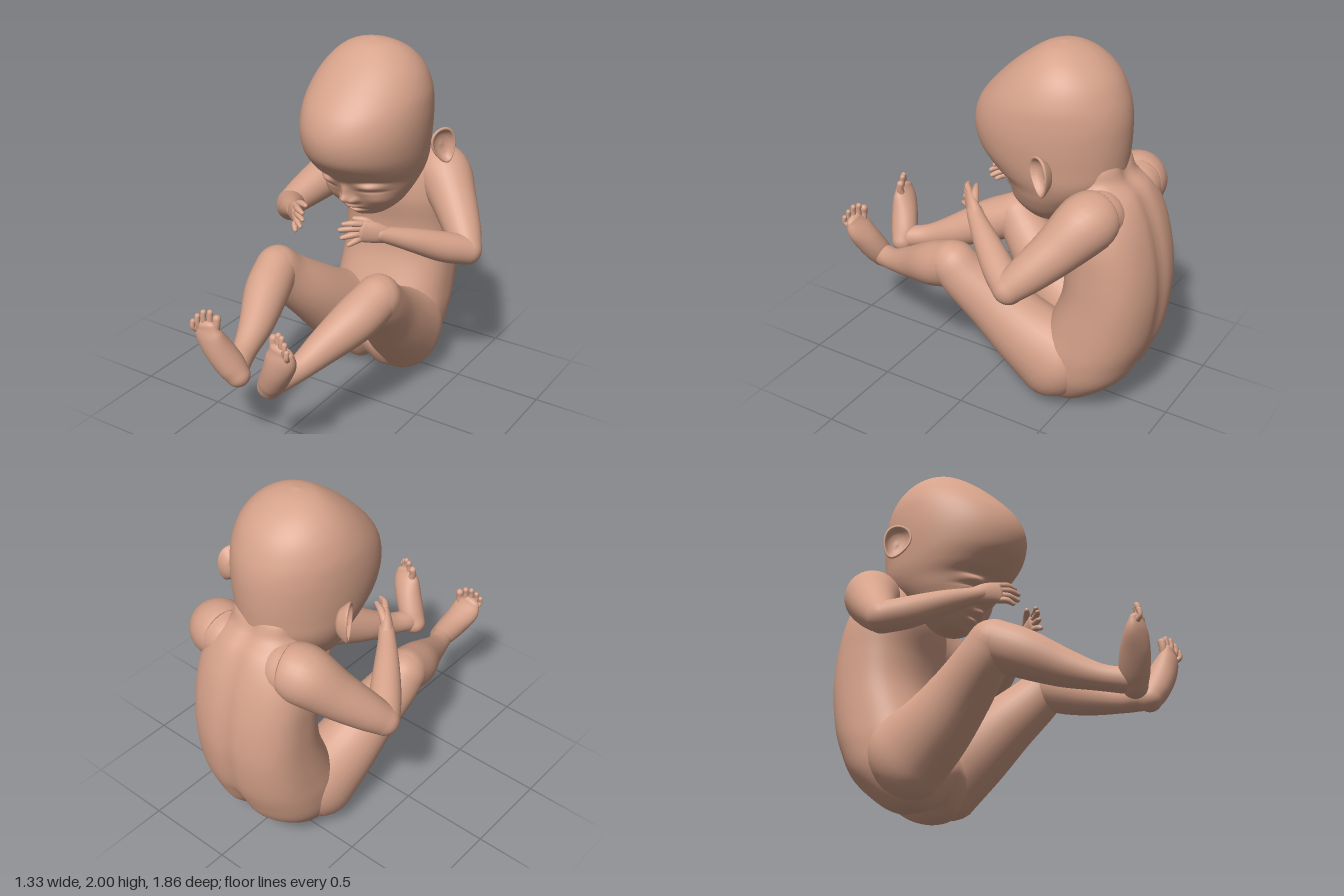
import * as THREE from 'three';

const skin = new THREE.MeshStandardMaterial({ color: 0xd6a28a });
skin.name = 'skin';

const add = (parent, name, geometry) => {
  const mesh = new THREE.Mesh(geometry, skin);
  mesh.name = name;
  parent.add(mesh);
  return mesh;
};
const gauss = (x, cx, s) => Math.exp(-(((x - cx) / s) ** 2));

// Smooth skin through closed rings of equal point counts
function loft(rings) {
  const n = rings[0].length, pos = [], index = [];
  rings.forEach(ring => ring.forEach(p => pos.push(p.x, p.y, p.z)));
  for (let i = 0; i < rings.length - 1; i++) {
    for (let j = 0; j < n; j++) {
      const a = i * n + j, b = i * n + (j + 1) % n;
      index.push(a, a + n, b, b, a + n, b + n);
    }
  }
  const g = new THREE.BufferGeometry();
  g.setAttribute('position', new THREE.Float32BufferAttribute(pos, 3));
  g.setIndex(index);
  g.computeVertexNormals();
  return g;
}

const spline = pts => new THREE.CatmullRomCurve3(pts, false, 'catmullrom', 0.5);

// Horizontal sections [y, zFront, zBack, halfWidth], bottom to top, shaped by a rule
function stack(rows, steps, sides, power, rule) {
  const shape = spline(rows.map(r => new THREE.Vector3(r[0], r[1], r[2])));
  const width = spline(rows.map(r => new THREE.Vector3(r[3], 0, 0)));
  const bend = v => Math.sign(v) * Math.abs(v) ** (2 / power);
  const rings = [];
  for (let i = 0; i <= steps; i++) {
    const s = shape.getPoint(i / steps), w = Math.max(0, width.getPoint(i / steps).x);
    const ring = [];
    for (let j = 0; j < sides; j++) {
      const t = j / sides * Math.PI * 2;
      const p = new THREE.Vector3(w * bend(Math.cos(t)), s.x,
        (s.y + s.z) / 2 + (s.y - s.z) / 2 * bend(Math.sin(t)));
      rule(p, Math.sin(t));
      ring.push(p);
    }
    rings.push(ring);
  }
  return loft(rings);
}

// Round-ended limb through [x, y, z, radius, depthRadius]; ref is the direction of radius
function limb(side, points, ref, steps = 24, sides = 28) {
  const path = spline(points.map(p => new THREE.Vector3(side * p[0], p[1], p[2])));
  const radii = spline(points.map(p => new THREE.Vector3(p[3], p[4] ?? p[3], 0)));
  const rings = [];
  const section = (t, phi) => {
    const c = path.getPoint(t), r = radii.getPoint(t), T = path.getTangent(t);
    const U = ref.clone().addScaledVector(T, -ref.dot(T)).normalize();
    const V = U.clone().cross(T);
    c.addScaledVector(T, Math.min(r.x, r.y) * Math.sin(phi));
    const k = Math.cos(phi), ring = [];
    for (let j = 0; j < sides; j++) {
      const a = j / sides * Math.PI * 2;
      ring.push(c.clone().addScaledVector(U, r.x * k * Math.cos(a)).addScaledVector(V, r.y * k * Math.sin(a)));
    }
    rings.push(ring);
  };
  for (let i = 0; i < 7; i++) section(0, (i / 7 - 1) * Math.PI / 2);
  for (let i = 0; i <= steps; i++) section(i / steps, 0);
  for (let i = 1; i <= 7; i++) section(1, i / 7 * Math.PI / 2);
  return loft(rings);
}

const X = new THREE.Vector3(1, 0, 0), Y = new THREE.Vector3(0, 1, 0);

// Face relief: [x, y, spreadX, spreadY, height], mirrored when x is not 0
const face = [
  [0, 1.165, 0.034, 0.028, 0.06], [0, 1.21, 0.025, 0.045, 0.03], [0.038, 1.155, 0.018, 0.017, 0.03],
  [0.14, 1.285, 0.07, 0.018, -0.022], [0.14, 1.25, 0.055, 0.022, 0.02], [0.14, 1.222, 0.06, 0.009, -0.01],
  [0.16, 1.16, 0.06, 0.045, 0.018], [0, 1.108, 0.05, 0.014, 0.03], [0, 1.087, 0.075, 0.008, -0.012],
  [0, 1.066, 0.045, 0.014, 0.02], [0, 1.03, 0.05, 0.014, 0.012]
];

function headShape() {
  const rows = [
    [1.015, -0.28, -0.28, 0], [1.025, -0.22, -0.34, 0.07], [1.06, -0.165, -0.4, 0.135],
    [1.12, -0.11, -0.48, 0.2], [1.2, -0.065, -0.56, 0.25], [1.27, -0.025, -0.63, 0.28],
    [1.34, 0.055, -0.67, 0.305], [1.43, 0.13, -0.682, 0.324], [1.54, 0.155, -0.687, 0.336],
    [1.65, 0.125, -0.682, 0.335], [1.75, 0.05, -0.657, 0.318], [1.85, -0.05, -0.605, 0.272],
    [1.93, -0.15, -0.52, 0.2], [1.98, -0.235, -0.42, 0.11], [2, -0.325, -0.325, 0]
  ];
  return stack(rows, 140, 160, 2, (p, front) => {
    if (front <= 0) return;
    let lift = 0;
    for (const [x, y, sx, sy, h] of face) {
      const across = gauss(p.x, x, sx) + (x ? gauss(p.x, -x, sx) : 0);
      lift += h * across * gauss(p.y, y, sy);
    }
    p.z += lift * Math.min(1, front * 2);
  });
}

function torsoShape() {
  const rows = [
    [0, -0.44, -0.44, 0], [0.005, -0.36, -0.52, 0.16], [0.06, -0.28, -0.63, 0.25], [0.2, -0.22, -0.785, 0.325],
    [0.35, -0.27, -0.86, 0.345], [0.5, -0.345, -0.907, 0.342], [0.7, -0.42, -0.93, 0.335],
    [0.88, -0.43, -0.92, 0.333], [1.05, -0.4, -0.885, 0.33], [1.18, -0.4, -0.84, 0.3],
    [1.28, -0.41, -0.785, 0.24], [1.35, -0.42, -0.71, 0.19], [1.44, -0.45, -0.66, 0.16], [1.45, -0.55, -0.55, 0]
  ];
  return stack(rows, 90, 96, 2.5, (p, front) => {
    const back = Math.max(0, -front), low = Math.max(0, 1 - p.y / 0.42);
    // spine groove and buttock cleft
    p.z += back * gauss(p.x, 0, 0.05) * (0.016 + 0.04 * low);
    p.y += 0.05 * gauss(p.x, 0, 0.05) * low;
  });
}

// Cupped ear with a rounded rim
function earShape(s) {
  const profile = [[0, -0.3], [0.55, -0.1], [0.85, 0.3], [1, 0.6], [0.98, 0.72], [0.88, 0.72],
    [0.78, 0.52], [0.6, 0.3], [0.3, 0.18], [0, 0.2]];
  const curve = new THREE.SplineCurve(profile.map(p => new THREE.Vector2(...p)));
  const pts = curve.getPoints(36).map(p => p.setX(Math.max(0, p.x)));
  const g = new THREE.LatheGeometry(pts, 40);
  g.scale(0.105, 0.07, 0.078).rotateZ(-s * Math.PI / 2);
  const pos = g.attributes.position;
  for (let i = 0; i < pos.count; i++) pos.setZ(i, pos.getZ(i) * (0.92 + 2.6 * pos.getY(i)));
  g.computeVertexNormals();
  return g.rotateX(0.3).rotateY(-s * 0.5).translate(s * 0.355, 1.44, -0.435);
}

function buildArm(s, name) {
  const arm = new THREE.Group();
  arm.name = name;
  add(arm, 'upperArm', limb(s, [[0.2, 1.2, -0.645, 0.14], [0.29, 1.19, -0.62, 0.155], [0.41, 1.075, -0.53, 0.127],
    [0.52, 0.965, -0.43, 0.102], [0.585, 0.895, -0.362, 0.082]], Y));
  add(arm, 'forearm', limb(s, [[0.585, 0.892, -0.36, 0.082], [0.5, 0.935, -0.245, 0.083], [0.4, 1, -0.11, 0.066],
    [0.32, 1.045, -0.01, 0.049], [0.275, 1.068, 0.04, 0.043]], Y));
  add(arm, 'palm', limb(s, [[0.3, 1.055, 0.01, 0.045, 0.04], [0.255, 1.078, 0.065, 0.058, 0.034],
    [0.21, 1.092, 0.115, 0.06, 0.025]], Y));
  const tips = [[0.13, 1.135, 0.172], [0.118, 1.105, 0.188], [0.132, 1.064, 0.19], [0.17, 1.03, 0.182]];
  tips.forEach(([x, y, z], i) => {
    const base = [0.205, 1.135 - i * 0.028, 0.118];
    add(arm, 'finger', limb(s, [[...base, 0.018], [(base[0] + x) / 2 + 0.004, (base[1] + y) / 2 + 0.006,
      (base[2] + z) / 2 + 0.006, 0.017], [x, y, z, 0.012]], Y, 8, 14));
  });
  add(arm, 'thumb', limb(s, [[0.26, 1.1, 0.05, 0.025], [0.205, 1.14, 0.08, 0.02], [0.155, 1.148, 0.105, 0.013]], Y, 8, 14));
  return arm;
}

function buildLeg(s, name) {
  const leg = new THREE.Group();
  leg.name = name;
  add(leg, 'thigh', limb(s, [[0.195, 0.265, -0.43, 0.195, 0.25], [0.22, 0.39, -0.25, 0.185, 0.205],
    [0.255, 0.53, -0.085, 0.163, 0.168], [0.305, 0.665, 0.065, 0.137, 0.14], [0.325, 0.745, 0.14, 0.123, 0.13]], X));
  add(leg, 'shin', limb(s, [[0.325, 0.745, 0.145, 0.12, 0.128], [0.285, 0.675, 0.3, 0.122, 0.125],
    [0.22, 0.59, 0.48, 0.095, 0.098], [0.172, 0.525, 0.65, 0.066, 0.068], [0.13, 0.5, 0.77, 0.062, 0.066]], X));
  add(leg, 'foot', limb(s, [[0.1, 0.475, 0.808, 0.066, 0.064], [0.135, 0.53, 0.82, 0.074, 0.078],
    [0.185, 0.62, 0.848, 0.08, 0.074], [0.222, 0.7, 0.872, 0.084, 0.054], [0.236, 0.76, 0.885, 0.068, 0.03]], X));
  // Toes fan from the inner big toe outward
  const tips = [[0.175, 0.805, 0.865], [0.21, 0.834, 0.873], [0.24, 0.834, 0.888], [0.267, 0.812, 0.903], [0.288, 0.782, 0.916]];
  tips.forEach(([x, y, z], i) => {
    const r = i ? 0.019 - i * 0.001 : 0.024;
    add(leg, 'toe', limb(s, [[0.185 + i * 0.024, 0.735, 0.87 + i * 0.008, r], [x, y - 0.03, z + 0.004, r * 0.85],
      [x, y, z, r * 0.9]], X, 8, 14));
  });
  return leg;
}

export function createModel() {
  const model = new THREE.Group();
  model.name = 'curledBaby';
  add(model, 'head', headShape());
  add(model, 'torso', torsoShape());
  for (const [s, side] of [[1, 'left'], [-1, 'right']]) {
    add(model, side + 'Ear', earShape(s));
    model.add(buildArm(s, side + 'Arm'), buildLeg(s, side + 'Leg'));
  }
  return model;
}
